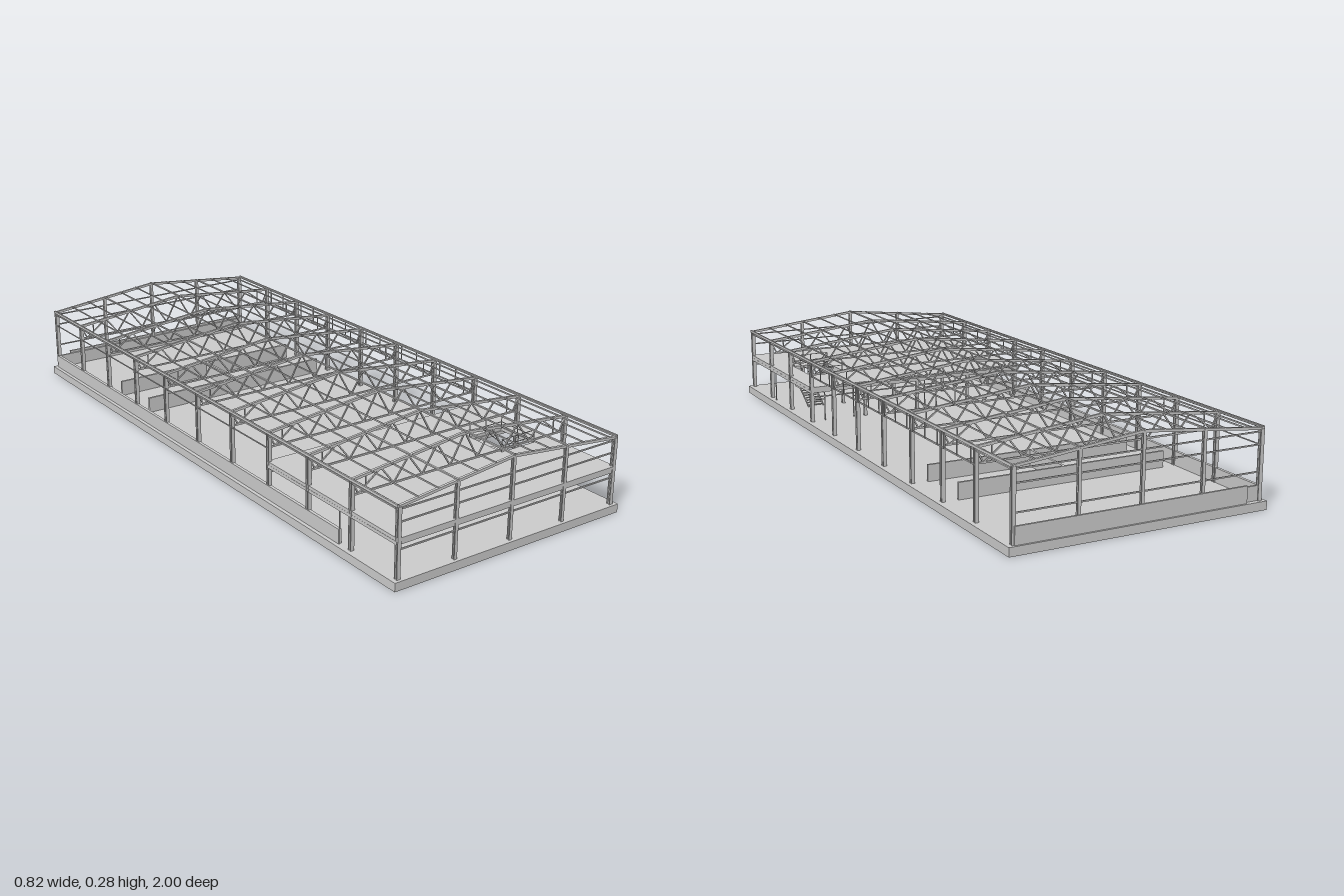
import * as THREE from 'three';

const mat = new THREE.MeshStandardMaterial({ color: 0xcccccc });
const FLOOR = 0.026, EAVE = 0.233, APEX = 0.276, CHORD = 0.188, HALF = 0.394;
const FRAMES = Array.from({ length: 11 }, (_, i) => -0.985 + i * 0.197);
const roofY = x => APEX - (APEX - EAVE) * Math.abs(x) / HALF;

export function createModel() {
  const root = new THREE.Group();
  root.name = 'steelFrameHall';
  const group = name => {
    const g = new THREE.Group();
    g.name = name;
    root.add(g);
    return g;
  };
  const add = (g, name, geo) => {
    const m = new THREE.Mesh(geo, mat);
    m.name = name;
    g.add(m);
    return m;
  };
  const box = (g, name, x0, x1, y0, y1, z0, z1) =>
    add(g, name, new THREE.BoxGeometry(x1 - x0, y1 - y0, z1 - z0))
      .position.set((x0 + x1) / 2, (y0 + y1) / 2, (z0 + z1) / 2);
  // Straight square bar between two points
  const bar = (g, name, a, b, w, h = w) => {
    const p = new THREE.Vector3(...a), q = new THREE.Vector3(...b);
    const m = add(g, name, new THREE.BoxGeometry(w, h, p.distanceTo(q)));
    m.position.copy(p).add(q).multiplyScalar(0.5);
    m.lookAt(q);
  };
  // Upright I-section column
  const iShape = (w, d, t) => {
    const pts = [[-w, -d], [w, -d], [w, t - d], [t / 2, t - d], [t / 2, d - t], [w, d - t],
      [w, d], [-w, d], [-w, d - t], [-t / 2, d - t], [-t / 2, t - d], [-w, t - d]];
    return new THREE.Shape(pts.map(p => new THREE.Vector2(...p)));
  };
  const column = (g, name, x, z, y0, y1, s = 0.006) => {
    const geo = new THREE.ExtrudeGeometry(iShape(s, s, s * 0.45), { depth: y1 - y0, bevelEnabled: false });
    const m = add(g, name, geo.rotateX(-Math.PI / 2));
    m.position.set(x, y0, z);
  };

  // Ground slab
  box(group('foundation'), 'slab', -0.41, 0.41, 0, FLOOR, -1, 1);

  // Low perimeter and inner walls
  const walls = group('lowWalls');
  box(walls, 'leftPlinth', -0.398, -0.388, FLOOR, 0.07, -0.985, 0.74);
  box(walls, 'backPlinth', -0.39, 0.39, FLOOR, 0.07, -0.985, -0.978);
  box(walls, 'backPanel', -0.345, 0.39, FLOOR, 0.077, -0.994, -0.987);
  for (const z of [-0.4, -0.594])
    box(walls, 'crossWall', -0.345, 0.345, FLOOR, 0.077, z - 0.004, z + 0.004);
  box(walls, 'dividingWall', -0.004, 0.004, FLOOR, 0.077, -0.594, -0.4);

  // Portal frames: side columns, rafters and lattice trusses
  const frames = group('portalFrames');
  const top = [0.394, 0.295, 0.2, 0.1, 0], bottom = [0.37, 0.25, 0.15, 0.05];
  FRAMES.forEach((z, i) => {
    const isEnd = i === 0 || i === 10;
    for (const s of [-1, 1]) {
      column(frames, 'sideColumn', s * 0.391, z, FLOOR, EAVE, 0.006);
      bar(frames, 'rafter', [s * HALF, EAVE, z], [0, APEX - 0.001, z], 0.008, 0.008);
      if (isEnd) continue;
      bottom.forEach((b, k) => {
        const foot = [s * b, CHORD, z];
        bar(frames, 'truss diagonal', [s * top[k], roofY(top[k]), z], foot, 0.004);
        bar(frames, 'truss diagonal', foot, [s * top[k + 1], roofY(top[k + 1]), z], 0.004);
      });
      bar(frames, 'truss post', [s * 0.345, CHORD, z], [s * 0.345, roofY(0.345), z], 0.003);
    }
    if (!isEnd) bar(frames, 'truss bottomChord', [-HALF, CHORD, z], [HALF, CHORD, z], 0.005);
  });

  // Purlins and eave beams along the roof
  const roof = group('roofPurlins');
  for (let i = -6; i <= 6; i++) {
    const x = i * HALF / 6, y = roofY(x) + 0.003;
    const w = i % 3 === 0 ? 0.006 : 0.003;
    bar(roof, 'purlin', [x, y, -0.988], [x, y, 0.988], w, 0.004);
  }
  for (const s of [-1, 1]) {
    bar(roof, 'eaveBeam', [s * 0.397, 0.236, -0.988], [s * 0.397, 0.236, 0.988], 0.005, 0.008);
    bar(roof, 'lowerEaveBeam', [s * 0.393, 0.225, -0.988], [s * 0.393, 0.225, 0.988], 0.004);
  }

  // End walls: gable columns and girts
  const ends = group('gableEnds');
  for (const z of [-0.985, 0.985]) {
    for (const x of [-0.197, 0, 0.197]) column(ends, 'gableColumn', x, z, FLOOR, roofY(x), 0.005);
    for (const y of [0.11, CHORD, 0.225])
      bar(ends, 'gableGirt', [-HALF, y, z], [HALF, y, z], 0.004);
  }

  // Side girts and high window strip
  const sides = group('sideFraming');
  bar(sides, 'leftGirt', [-HALF, 0.185, -0.985], [-HALF, 0.185, 0.39], 0.003);
  bar(sides, 'windowSill', [HALF, 0.185, -0.788], [HALF, 0.185, 0.394], 0.004);
  for (let i = 1; i < 7; i++)
    for (const d of [0.02, 0.0985, 0.177]) {
      const z = FRAMES[i] + d;
      bar(sides, 'windowPost', [0.397, 0.185, z], [0.397, 0.236, z], 0.003);
    }

  // Upper floor with stair opening
  const mezz = group('upperFloor');
  const rect = (C, x0, x1, z0, z1) => new C([[x0, -z1], [x1, -z1], [x1, -z0], [x0, -z0]]
    .map(p => new THREE.Vector2(...p)));
  const plate = rect(THREE.Shape, -0.396, 0.396, 0.39, 0.99);
  plate.holes.push(rect(THREE.Path, 0.2, 0.328, 0.59, 0.73));
  add(mezz, 'floorPlate', new THREE.ExtrudeGeometry(plate, { depth: 0.01, bevelEnabled: false })
    .rotateX(-Math.PI / 2)).position.y = 0.135;
  for (const z of FRAMES.slice(7)) {
    bar(mezz, 'floorBeam', [-HALF, 0.13, z], [HALF, 0.13, z], 0.006, 0.01);
    if (z < 0.9) for (const x of [-0.197, 0, 0.197])
      column(mezz, 'floorColumn', x, z, FLOOR, 0.135, 0.005);
  }
  for (const x of [-HALF, -0.197, 0, 0.197, HALF])
    bar(mezz, 'floorJoist', [x, 0.13, 0.394], [x, 0.13, 0.985], 0.005, 0.01);

  // Door frames under the upper floor
  const doors = group('doorFrames');
  const openings = [[-0.197, -0.15], [-0.075, -0.03], [0.197, 0.24], [0.345, 0.39]];
  for (const [x0, x1] of openings) {
    for (const x of [x0, x1])
      bar(doors, 'doorPost', [x, FLOOR, 0.394], [x, 0.13, 0.394], 0.003);
    bar(doors, 'doorHead', [x0, 0.1, 0.394], [x1, 0.1, 0.394], 0.003);
  }
  bar(doors, 'partitionRail', [-HALF, 0.11, 0.394], [HALF, 0.11, 0.394], 0.004);
  for (const s of [-1, 1])
    bar(doors, 'sidePost', [s * HALF, FLOOR, 0.74], [s * HALF, 0.13, 0.74], 0.003);

  // Stairs with a corner landing
  const stairs = group('stairs');
  box(stairs, 'landing', 0.272, 0.328, 0.074, 0.079, 0.67, 0.728);
  for (let i = 0; i < 7; i++) {
    const x = 0.205 + i * 0.0096, y = 0.14 - i * 0.0087;
    box(stairs, 'upperTread', x, x + 0.011, y - 0.002, y, 0.674, 0.726);
    const z = 0.665 - i * 0.0105, h = 0.07 - i * 0.0065;
    box(stairs, 'lowerTread', 0.274, 0.326, h - 0.002, h, z - 0.006, z + 0.006);
  }
  for (const z of [0.672, 0.728]) {
    bar(stairs, 'upperStringer', [0.2, 0.14, z], [0.275, 0.076, z], 0.003, 0.006);
    bar(stairs, 'upperHandrail', [0.2, 0.185, z], [0.275, 0.12, z], 0.002);
  }
  for (const x of [0.272, 0.328]) {
    bar(stairs, 'lowerStringer', [x, 0.076, 0.67], [x, FLOOR, 0.592], 0.003, 0.006);
    bar(stairs, 'lowerHandrail', [x, 0.115, 0.67], [x, 0.07, 0.592], 0.002);
  }

  // Guard rails around the stair opening
  const path = [[0.2, 0.59], [0.264, 0.59], [0.328, 0.59], [0.328, 0.66], [0.328, 0.73], [0.264, 0.73], [0.2, 0.73]];
  path.forEach(([x, z], i) => {
    bar(stairs, 'guardPost', [x, 0.14, z], [x, 0.184, z], 0.002);
    const next = path[i + 1];
    if (next) for (const y of [0.164, 0.184])
      bar(stairs, 'guardRail', [x, y, z], [next[0], y, next[1]], 0.002);
  });

  return root;
}
